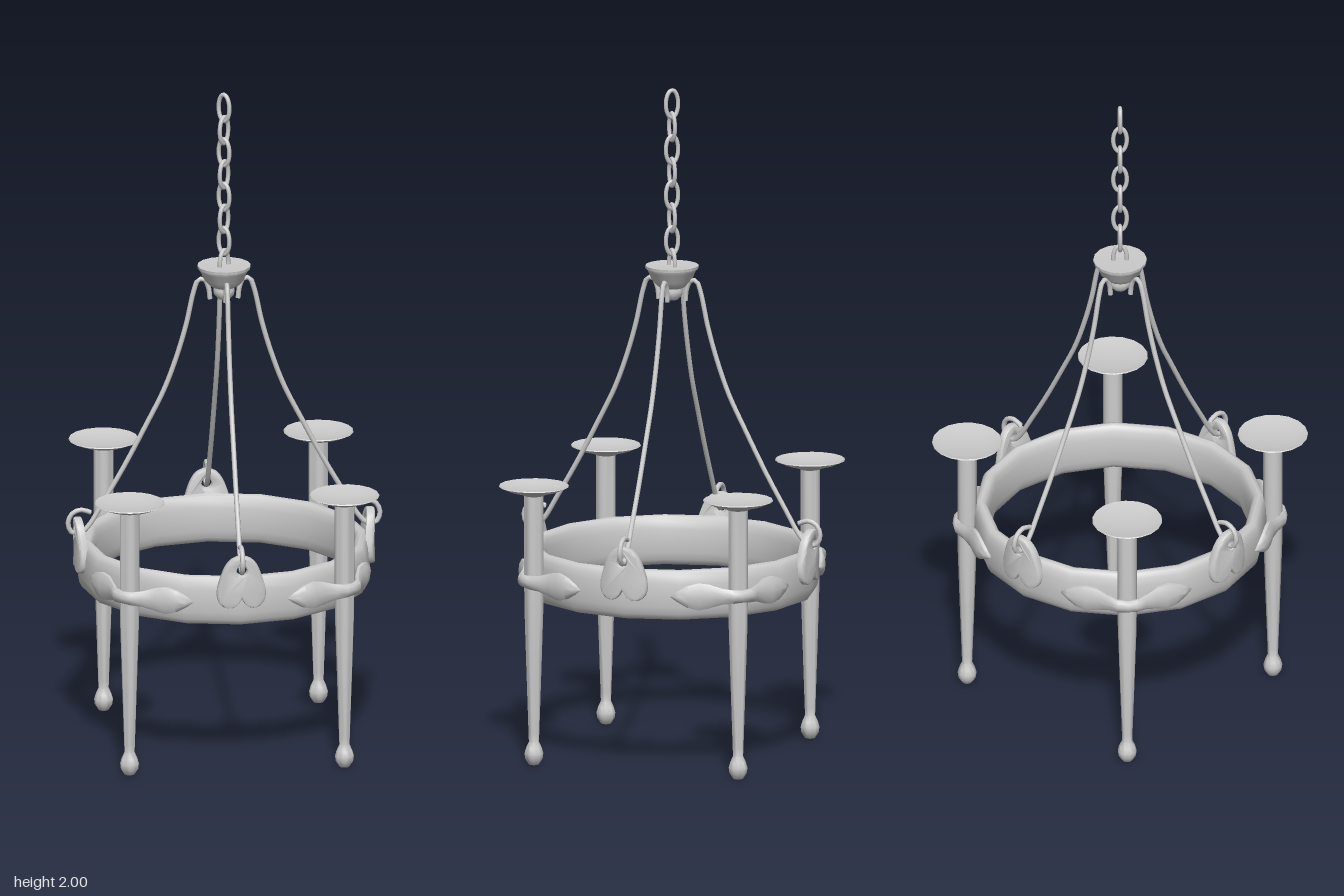
import * as THREE from 'three';
import { mergeVertices, toCreasedNormals } from 'three/addons/utils/BufferGeometryUtils.js';

const material = new THREE.MeshStandardMaterial({ color: 0xcccccc, side: THREE.DoubleSide });

function part(name, geometry) {
  const mesh = new THREE.Mesh(geometry, material);
  mesh.name = name;
  return mesh;
}

function lathe(points, segments, crease = 0.8) {
  const g = new THREE.LatheGeometry(points.map(([x, y]) => new THREE.Vector2(x, y)), segments);
  return toCreasedNormals(g, crease);
}

// Closed band with a tall rounded section
function ringGeometry() {
  const profile = [];
  for (let i = 0; i <= 16; i++) {
    const a = (i / 16) * Math.PI * 2, c = Math.cos(a), s = Math.sin(a);
    profile.push([0.41 + 0.025 * Math.sign(c) * Math.abs(c) ** 0.8, 0.56 + 0.075 * Math.sign(s) * Math.abs(s) ** 0.8]);
  }
  return lathe(profile, 16, 1.0);
}

// Tapered stick with a ball foot and a flared, slightly dished plate
function torchGeometry() {
  return lathe([
    [0, 0.003], [0.015, 0.007], [0.026, 0.024], [0.028, 0.04], [0.023, 0.057], [0.015, 0.075],
    [0.016, 0.1], [0.022, 0.28], [0.028, 0.47], [0.029, 0.56], [0.029, 0.815],
    [0.045, 0.822], [0.075, 0.83], [0.104, 0.843], [0.102, 0.846], [0.07, 0.838], [0, 0.835],
  ], 18);
}

// Double leaf wrapped around the stick; stations: offset, radius, half height, half thickness
function leafGeometry() {
  const half = [
    [0, 0.48, 0.019, 0.014], [0.03, 0.476, 0.021, 0.014], [0.055, 0.456, 0.025, 0.014],
    [0.09, 0.434, 0.038, 0.016], [0.12, 0.427, 0.043, 0.016], [0.15, 0.416, 0.034, 0.014],
    [0.175, 0.403, 0.017, 0.01], [0.192, 0.392, 0.002, 0.003],
  ];
  const n = half.length - 1;
  const g = new THREE.CylinderGeometry(1, 1, 2 * n, 10, 2 * n).rotateZ(-Math.PI / 2);
  const p = g.attributes.position;
  for (let i = 0; i < p.count; i++) {
    const k = Math.round(p.getX(i));
    const [s, r, h, t] = half[Math.abs(k)];
    p.setXYZ(i, Math.sign(k) * s, 0.56 + p.getY(i) * h, r + p.getZ(i) * t);
  }
  g.deleteAttribute('uv');
  g.deleteAttribute('normal');
  return toCreasedNormals(mergeVertices(g, 1e-5), 0.9);
}

// Upside-down heart plate with an eyelet, curved to follow the ring
function heartGeometry() {
  const shape = new THREE.Shape();
  shape.moveTo(0, 0.592);
  shape.bezierCurveTo(0.008, 0.56, 0.025, 0.548, 0.04, 0.55);
  shape.bezierCurveTo(0.068, 0.553, 0.072, 0.585, 0.062, 0.615);
  shape.bezierCurveTo(0.05, 0.655, 0.04, 0.697, 0, 0.698);
  shape.bezierCurveTo(-0.04, 0.697, -0.05, 0.655, -0.062, 0.615);
  shape.bezierCurveTo(-0.072, 0.585, -0.068, 0.553, -0.04, 0.55);
  shape.bezierCurveTo(-0.025, 0.548, -0.008, 0.56, 0, 0.592);
  shape.holes.push(new THREE.Path().absarc(0, 0.66, 0.021, 0, Math.PI * 2, true));
  const g = new THREE.ExtrudeGeometry(shape, {
    depth: 0.014, bevelSize: 0.006, bevelThickness: 0.006, bevelSegments: 2, curveSegments: 8,
  });
  const p = g.attributes.position;
  for (let i = 0; i < p.count; i++) p.setZ(i, p.getZ(i) + 0.427 - 2.6 * p.getX(i) ** 2);
  return toCreasedNormals(g, 0.7);
}

// Suspension rod hooked at both ends; points are radius, height
function rodGeometry() {
  const path = [
    [0.042, 1.365], [0.045, 1.395], [0.058, 1.425], [0.076, 1.425], [0.09, 1.39], [0.112, 1.29],
    [0.141, 1.19], [0.178, 1.09], [0.23, 0.985], [0.295, 0.86], [0.354, 0.757], [0.4, 0.68],
    [0.425, 0.656], [0.45, 0.657], [0.463, 0.685], [0.452, 0.715], [0.425, 0.727], [0.395, 0.718],
  ];
  const curve = new THREE.CatmullRomCurve3(path.map(([r, y]) => new THREE.Vector3(0, y, r)));
  return new THREE.TubeGeometry(curve, 72, 0.0075, 8);
}

// Oval chain link
function linkGeometry() {
  const pts = [];
  for (let i = 0; i < 16; i++) {
    const a = (i / 16) * Math.PI * 2;
    pts.push(new THREE.Vector3(0.02 * Math.cos(a), 0.041 * Math.sin(a), 0));
  }
  return new THREE.TubeGeometry(new THREE.CatmullRomCurve3(pts, true), 32, 0.0065, 8, true);
}

export function createModel() {
  const model = new THREE.Group();
  model.name = 'chandelier';
  model.add(part('ring', ringGeometry()));

  // Four torches with leaves, and four heart plates with rods between them
  const torch = torchGeometry(), leaf = leafGeometry(), heart = heartGeometry(), rod = rodGeometry();
  for (let i = 0; i < 4; i++) {
    const arm = new THREE.Group();
    arm.name = 'torchArm';
    const stick = part('torch', torch);
    stick.position.z = 0.451;
    arm.add(stick, part('leafClasp', leaf));
    arm.rotation.y = (i * Math.PI) / 2;

    const hanger = new THREE.Group();
    hanger.name = 'hanger';
    hanger.add(part('heartPlate', heart), part('rod', rod));
    hanger.rotation.y = ((i + 0.5) * Math.PI) / 2;
    model.add(arm, hanger);
  }

  // Bowl-shaped hub with a knob below
  model.add(part('hub', lathe([
    [0, 1.362], [0.018, 1.365], [0.03, 1.378], [0.032, 1.392], [0.03, 1.4], [0.045, 1.408],
    [0.06, 1.425], [0.07, 1.45], [0.079, 1.46], [0.079, 1.468], [0.04, 1.466], [0, 1.465],
  ], 16)));

  // Chain of links turned alternately
  const link = linkGeometry();
  for (let i = 0; i < 8; i++) {
    const mesh = part('chainLink', link);
    mesh.position.y = 1.9525 - 0.0685 * i;
    mesh.rotation.y = i % 2 ? 0 : Math.PI / 2;
    model.add(mesh);
  }
  return model;
}
